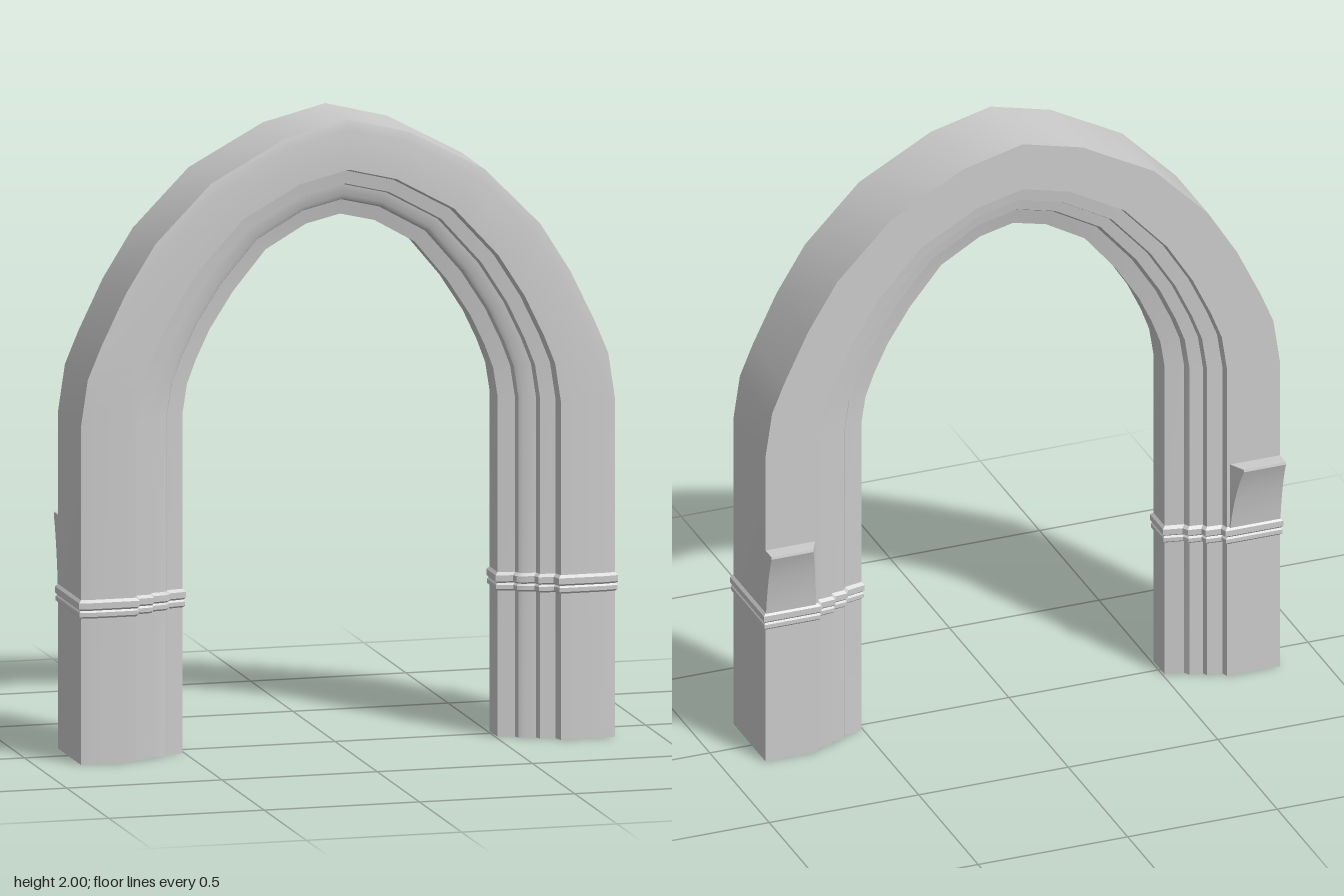
import * as THREE from 'three';
import { toCreasedNormals } from 'three/addons/utils/BufferGeometryUtils.js';

const material = new THREE.MeshStandardMaterial({ color: 0xcccccc });

// Half arch curves, from the springing up to the apex
const OUTER = [[0.86, 1.07], [0.838, 1.217], [0.795, 1.32], [0.716, 1.483], [0.62, 1.637], [0.44, 1.82], [0.2, 1.95], [0, 2]];
const INNER = [[0.507, 1.08], [0.493, 1.17], [0.465, 1.245], [0.42, 1.34], [0.345, 1.456], [0.24, 1.583], [0.11, 1.658], [0, 1.684]];

// Moulded section: [t from inner (0) to outer (1) edge, z]
const FRONT = [[0, 0.06], [0.15, 0.07], [0.17, 0.088], [0.21, 0.096], [0.32, 0.101], [0.34, 0.124], [0.475, 0.13], [0.5, 0.16], [0.9, 0.16], [1, 0.154]];
const BACK = [[1, -0.117], [0.5, -0.117], [0.48, -0.095], [0.34, -0.09], [0.32, -0.072], [0.2, -0.066], [0.17, -0.048], [0, -0.035]];
const SECTION = [...FRONT, ...BACK];

// Skin a list of equal-sized closed rings and cap both ends
function loft(name, rings) {
  const n = rings[0].length;
  const positions = rings.flat(2);
  const index = [];
  for (let r = 0; r < rings.length - 1; r++) {
    for (let i = 0; i < n; i++) {
      const j = (i + 1) % n;
      const a = r * n + i, b = r * n + j, c = b + n, d = a + n;
      index.push(a, b, c, a, c, d);
    }
  }
  const contour = rings[0].map(([x, , z]) => new THREE.Vector2(x, -z));
  const last = (rings.length - 1) * n;
  for (const [a, b, c] of THREE.ShapeUtils.triangulateShape(contour, [])) {
    index.push(a, c, b, last + a, last + b, last + c);
  }
  const geometry = new THREE.BufferGeometry();
  geometry.setAttribute('position', new THREE.Float32BufferAttribute(positions, 3));
  geometry.setIndex(index);
  const mesh = new THREE.Mesh(toCreasedNormals(geometry, 0.5), material);
  mesh.name = name;
  return mesh;
}

// Mirror rings to the other side, keeping faces outward
const mirror = (rings) => rings.map((ring) => ring.map(([x, y, z]) => [-x, y, z]).reverse());

// Section spanned between an inner and an outer point
const span = ([xi, yi], [xo, yo], side) =>
  SECTION.map(([t, z]) => [side * (xi + (xo - xi) * t), yi + (yo - yi) * t, z]);

// Leg section at height y, swollen outward by o
const legRing = (y, o) => SECTION.map(([t, z], i) => [
  0.507 + 0.353 * t + (t < 0.6 ? -o : t === 1 ? o : 0),
  y,
  z + (i < FRONT.length ? o : -o),
]);

export function createModel() {
  const group = new THREE.Group();
  group.name = 'archway';

  // Legs and pointed arch in one sweep
  const half = (side) => [
    span([0.507, 0], [0.86, 0], side),
    ...INNER.map((p, i) => span(p, OUTER[i], side)),
  ];
  group.add(loft('arch', [...half(1), ...half(-1).slice(0, -1).reverse()]));

  // Double ridged band round each leg
  const band = [[0.463, 0], [0.469, 0.006], [0.482, 0.006], [0.488, 0.002], [0.494, 0.008], [0.513, 0.008], [0.522, 0]]
    .map(([y, o]) => legRing(y, o));
  group.add(loft('leftBand', band), loft('rightBand', mirror(band)));

  // Curved bracket on the back of each leg
  const bracket = [[0.52, -0.121], [0.56, -0.126], [0.61, -0.134], [0.66, -0.145], [0.7, -0.156], [0.733, -0.168], [0.741, -0.166]]
    .map(([y, z]) => {
      const inner = 0.69 + 0.03 * (-0.117 - z) / 0.051;
      return [[0.69, y, -0.11], [0.86, y, -0.11], [0.86, y, z], [inner, y, z]];
    });
  group.add(loft('leftBracket', bracket), loft('rightBracket', mirror(bracket)));

  return group;
}
